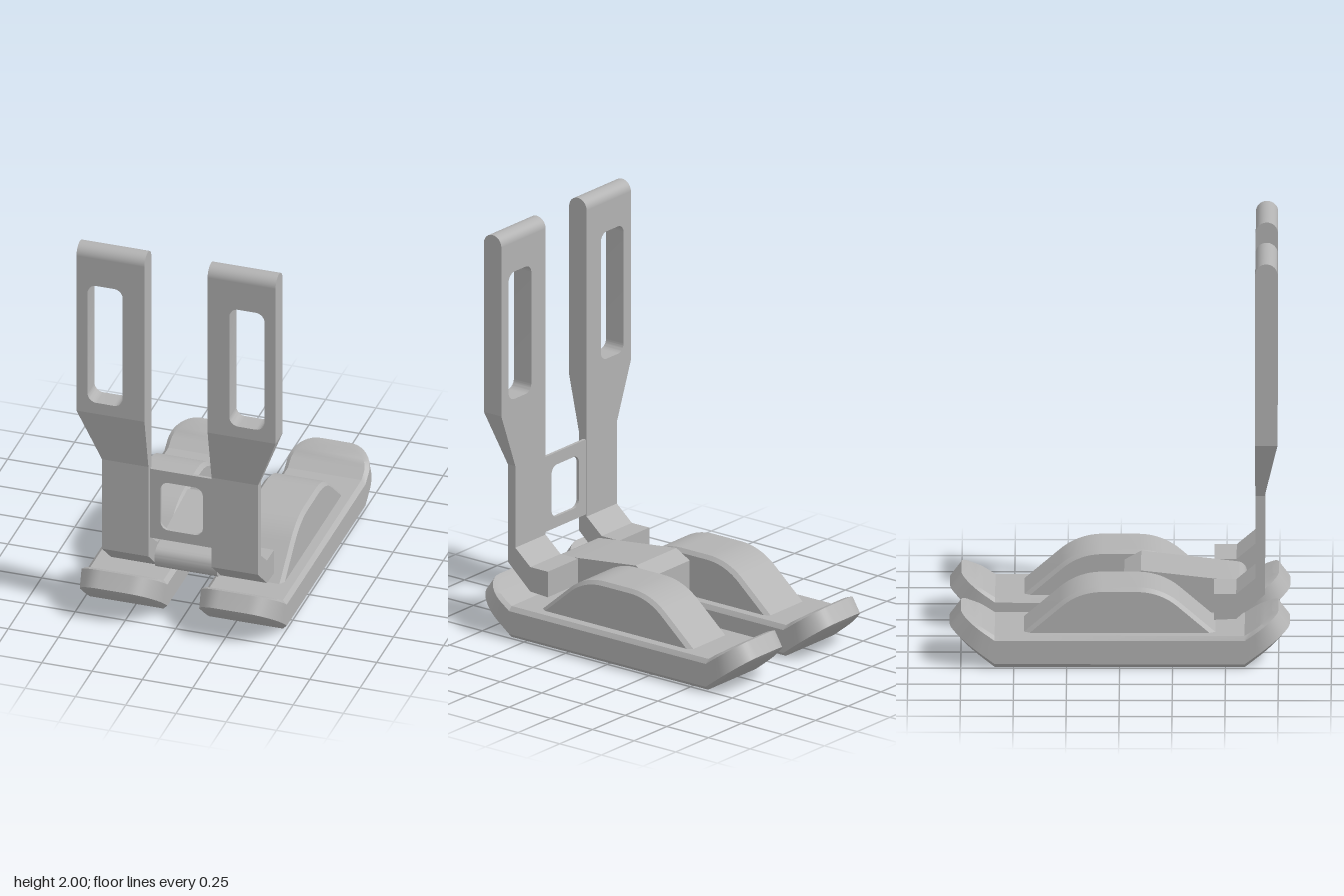
import * as THREE from 'three';
import { toCreasedNormals } from 'three/addons/utils/BufferGeometryUtils.js';

// Skin a list of rings (equal, even point counts) and close both ends.
function loft(rings, crease) {
  const n = rings[0].length, last = (rings.length - 1) * n, index = [];
  const quad = (a, b, c, d) => index.push(a, b, c, a, c, d);
  for (let r = 0; r < last; r += n) {
    for (let i = 0; i < n; i++) {
      const j = (i + 1) % n;
      quad(r + i, r + n + i, r + n + j, r + j);
    }
  }
  for (let i = 0; i < n / 2 - 1; i++) {
    quad(i, i + 1, n - 2 - i, n - 1 - i);
    quad(last + i, last + n - 1 - i, last + n - 2 - i, last + i + 1);
  }
  const geo = new THREE.BufferGeometry();
  geo.setAttribute('position', new THREE.Float32BufferAttribute(rings.flat(2), 3));
  geo.setIndex(index);
  return toCreasedNormals(geo, crease);
}

// Rounded rectangle traced into a Shape or Path.
function roundRect(path, x0, x1, y0, y1, r) {
  path.moveTo(x0 + r, y0);
  path.absarc(x1 - r, y0 + r, r, -Math.PI / 2, 0);
  path.absarc(x1 - r, y1 - r, r, 0, Math.PI / 2);
  path.absarc(x0 + r, y1 - r, r, Math.PI / 2, Math.PI);
  path.absarc(x0 + r, y0 + r, r, Math.PI, Math.PI * 1.5);
  return path;
}

// Plate facing +z between x0..x1, y0..y1 with a rounded window.
function windowPlate(x0, x1, y0, y1, hole, z, depth) {
  const shape = new THREE.Shape([[x0, y0], [x1, y0], [x1, y1], [x0, y1]].map(p => new THREE.Vector2(...p)));
  shape.holes.push(roundRect(new THREE.Path(), ...hole));
  const geo = new THREE.ExtrudeGeometry(shape, { depth, bevelEnabled: false, curveSegments: 8 });
  return toCreasedNormals(geo.translate(0, 0, z), 0.5);
}

// Side profile (z, y) extruded across x and centred on x = cx.
function sideExtrude(shape, width, bevel, cx) {
  const geo = new THREE.ExtrudeGeometry(shape, {
    depth: width - 2 * bevel, curveSegments: 12, bevelEnabled: bevel > 0, bevelSegments: 1,
    bevelSize: bevel, bevelThickness: bevel, bevelOffset: -bevel
  });
  geo.rotateY(-Math.PI / 2).translate(cx + width / 2 - bevel, 0, 0);
  return toCreasedNormals(geo, 0.4);
}

// Runner with chamfered edges and rounded, upturned tips at both ends.
function skiGeometry(cx) {
  // inset, height of the straight part, tip z, tip y
  const layers = [[0.02, 0, 0.785, 0.155], [0, 0.02, 0.803, 0.18], [0, 0.135, 0.75, 0.25], [0.02, 0.155, 0.72, 0.24]];
  const ring = (t, dir) => {
    const q = Math.max(0, (t - 0.3) / 0.7);
    const drop = 0.13 * (1 - Math.sqrt(Math.max(0, 1 - q * q)));
    const side = s => layers.map(([inset, h, tz, ty]) => [
      cx + s * (0.203 - inset - drop), h + (ty - h) * t, dir * (0.59 + (tz - 0.59) * t)]);
    return [...side(-1), ...side(1).reverse()];
  };
  const steps = [0];
  for (let i = 0; i <= 10; i++) steps.push(0.3 + 0.7 * Math.sin(i / 10 * Math.PI / 2));
  return loft([...steps.map(t => ring(t, -1)).reverse(), ...steps.map(t => ring(t, 1))], 0.45);
}

// Arched rib on top of each runner.
function ribShape() {
  const s = new THREE.Shape();
  s.moveTo(-0.455, 0.1);
  s.lineTo(-0.455, 0.152);
  s.lineTo(-0.29, 0.295);
  s.quadraticCurveTo(-0.2, 0.375, -0.08, 0.375);
  s.lineTo(0.08, 0.375);
  s.quadraticCurveTo(0.2, 0.375, 0.29, 0.295);
  s.lineTo(0.455, 0.152);
  s.lineTo(0.455, 0.1);
  return s;
}

// Centre block joining the two feet, rounded at the front.
function hingeShape() {
  const s = new THREE.Shape();
  s.moveTo(0.02, 0.175);
  s.lineTo(0.15, 0.175);
  s.lineTo(0.4, 0.2);
  s.lineTo(0.55, 0.21);
  s.quadraticCurveTo(0.6, 0.215, 0.6, 0.265);
  s.quadraticCurveTo(0.6, 0.318, 0.55, 0.323);
  s.lineTo(0.45, 0.335);
  s.lineTo(0.1, 0.375);
  s.lineTo(0.02, 0.33);
  return s;
}

export function createModel() {
  const model = new THREE.Group();
  const grey = new THREE.MeshStandardMaterial({ color: 0xb2b2b2 });
  grey.name = 'satin grey';
  const add = (name, geo, parent = model) => {
    const mesh = new THREE.Mesh(geo, grey);
    mesh.name = name;
    parent.add(mesh);
  };

  for (const side of [1, -1]) {
    const label = side > 0 ? 'left' : 'right';
    const span = (a, b) => side > 0 ? [a, b] : [-b, -a];

    // runner and rib
    add(label + 'Runner', skiGeometry(side * 0.297));
    add(label + 'Rib', sideExtrude(ribShape(), 0.28, 0.018, side * 0.295));

    // slotted arm with a rounded top
    const arm = new THREE.Group();
    arm.name = label + 'Arm';
    model.add(arm);
    add('slottedPlate', windowPlate(...span(0.157, 0.495), 1.1, 1.9475,
      [...span(0.265, 0.44), 1.16, 1.8, 0.045], 0.64, 0.105), arm);
    const top = new THREE.CylinderGeometry(0.0525, 0.0525, 0.338, 24, 1, false, 0, Math.PI);
    add('roundedTop', top.rotateZ(Math.PI / 2).translate(side * 0.326, 1.9475, 0.6925), arm);

    // tapering shank bent back into the foot: outer x, back (z, y), front (z, y)
    const stations = [
      [0.495, 0.64, 1.1, 0.745, 1.1],
      [0.388, 0.64, 0.82, 0.685, 0.82],
      [0.388, 0.64, 0.41, 0.685, 0.33],
      [0.388, 0.55, 0.333, 0.55, 0.21],
      [0.388, 0.445, 0.333, 0.445, 0.205]
    ];
    add('shank', loft(stations.map(([outer, bz, by, fz, fy]) => {
      const [x0, x1] = span(0.157, outer);
      return [[x0, by, bz], [x0, fy, fz], [x1, fy, fz], [x1, by, bz]];
    }), 0.1), arm);
  }

  // parts joining the two arms
  add('crossPlate', windowPlate(-0.157, 0.157, 0.42, 0.797, [-0.105, 0.105, 0.475, 0.735, 0.04], 0.645, 0.015));
  add('hingeBlock', sideExtrude(hingeShape(), 0.31, 0, 0));
  return model;
}
